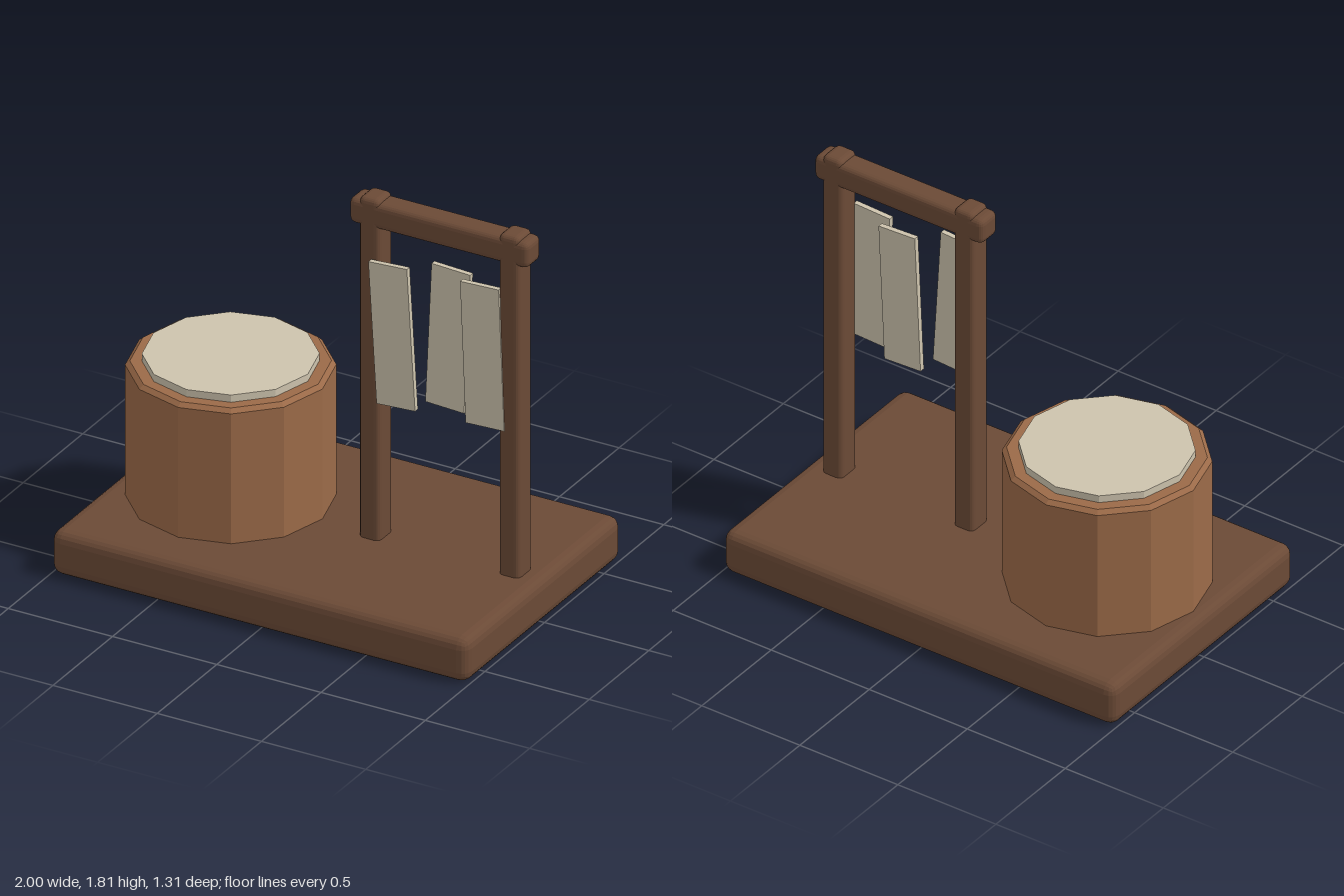
import * as THREE from 'three';
import { RoundedBoxGeometry } from 'three/addons/geometries/RoundedBoxGeometry.js';

const paint = (color) => new THREE.MeshStandardMaterial({ color, flatShading: true });
const darkWood = paint(0x6b4a36);
const lightWood = paint(0x9b6a48);
const cloth = paint(0xcdc3ad);

export function createModel() {
  const model = new THREE.Group();

  const add = (name, geometry, material, x, y, z, tilt = 0) => {
    const mesh = new THREE.Mesh(geometry, material);
    mesh.name = name;
    mesh.position.set(x, y, z);
    mesh.rotation.z = tilt;
    model.add(mesh);
    return mesh;
  };
  const beam = (w, h, d, r) => new RoundedBoxGeometry(w, h, d, 2, r);

  // Base slab with eased edges
  add('base', beam(2, 0.208, 1.31, 0.05), darkWood, 0, 0.104, 0);

  // Twelve-sided drum with a small bevel at the rims
  const R = 0.44;
  const drumProfile = [
    [0, 0.16], [R - 0.02, 0.16], [R, 0.18], [R, 0.82], [R - 0.02, 0.838], [0, 0.838],
  ].map(([x, y]) => new THREE.Vector2(x, y));
  add('drumBody', new THREE.LatheGeometry(drumProfile, 12), lightWood, -0.505, 0, 0);
  add('drumTop', new THREE.CylinderGeometry(0.37, 0.37, 0.06, 12), cloth, -0.505, 0.842, 0);

  // Frame: two posts and a crossbar
  for (const [name, x] of [['rightPost', 0.19], ['leftPost', 0.86]]) {
    add(name, beam(0.1, 1.66, 0.12, 0.025), darkWood, x, 0.98, 0);
  }
  add('crossbar', beam(0.86, 0.12, 0.12, 0.028), darkWood, 0.522, 1.733, 0);

  // Hanging strips: x, z, tilt
  const strips = [[0.323, 0.086, 0.06], [0.534, -0.015, -0.045], [0.737, 0.052, 0.04]];
  strips.forEach(([x, z, tilt], i) => {
    add(`hangingStrip${i + 1}`, new THREE.BoxGeometry(0.185, 0.66, 0.024), cloth, x, 1.215, z, tilt);
  });

  return model;
}
